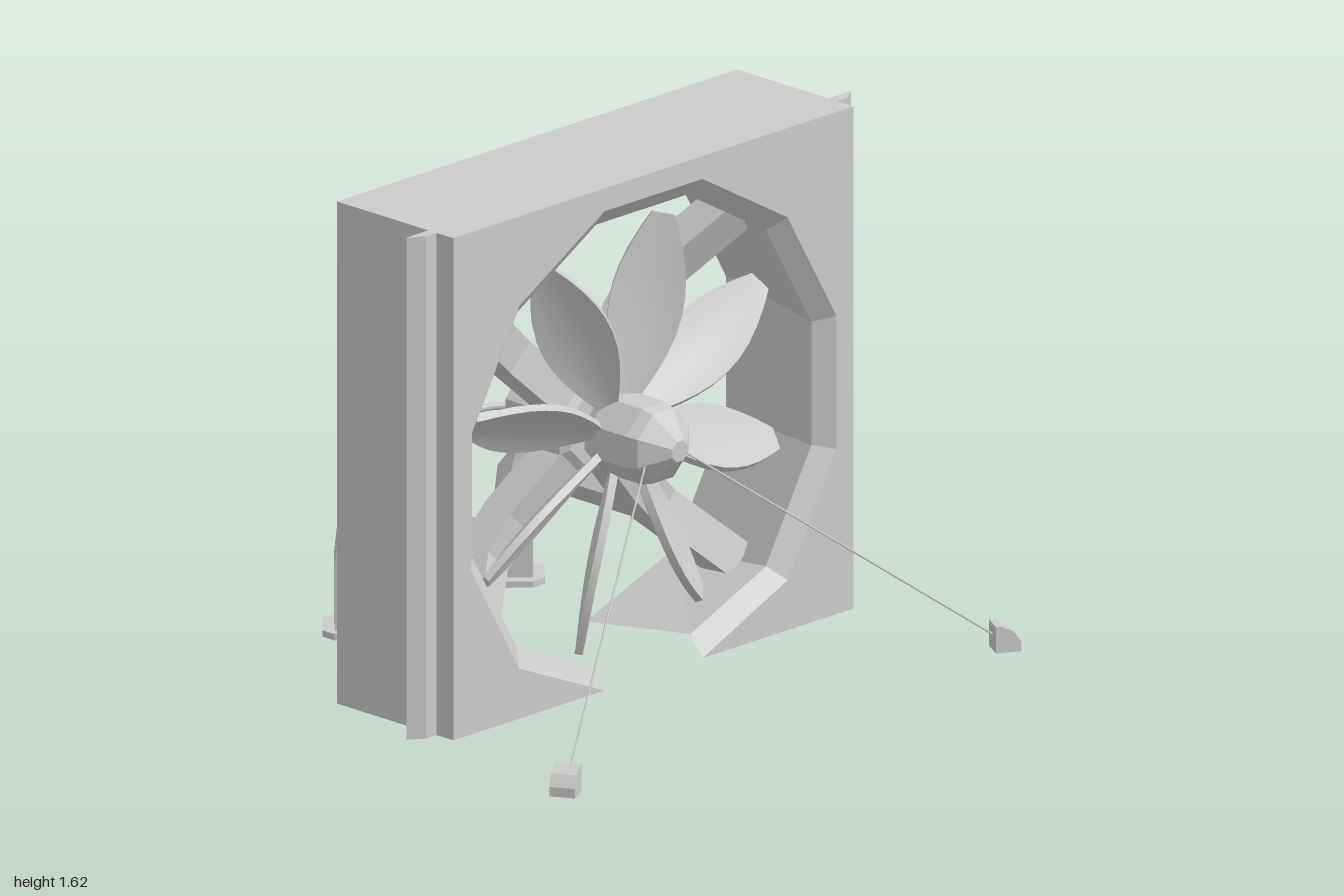
import * as THREE from 'three';

const HUB_Y = 0.76;
const mat = new THREE.MeshStandardMaterial({ color: 0xcccccc, flatShading: true });
const open = new THREE.MeshStandardMaterial({ color: 0xcccccc, flatShading: true, side: THREE.DoubleSide });
const smooth = new THREE.MeshStandardMaterial({ color: 0xcccccc });
const V = (x, y, z) => new THREE.Vector3(x, y, z);

function add(parent, name, geometry, material = mat, x = 0, y = 0, z = 0) {
  const mesh = new THREE.Mesh(geometry, material);
  mesh.name = name;
  mesh.position.set(x, y, z);
  parent.add(mesh);
  return mesh;
}

function fromTriangles(tris) {
  const g = new THREE.BufferGeometry().setFromPoints(tris);
  g.computeVertexNormals();
  return g;
}

// Four-sided bar with mitred bends; "side" is perpendicular to the whole path
function sweep(path, side, radius, phase) {
  const rings = path.map((p, i) => {
    const before = p.clone().sub(path[Math.max(i - 1, 0)]).normalize();
    const after = path[Math.min(i + 1, path.length - 1)].clone().sub(p).normalize();
    const t = before.clone().add(after).normalize();
    const mitre = 1 / Math.max(t.dot(after.lengthSq() ? after : before), 0.5);
    const up = t.clone().cross(side).multiplyScalar(mitre);
    return [0, 1, 2, 3].map(k => {
      const a = phase + k * Math.PI / 2;
      return p.clone().addScaledVector(side, radius * Math.cos(a)).addScaledVector(up, radius * Math.sin(a));
    });
  });
  const tris = [];
  for (let i = 0; i < rings.length - 1; i++) {
    for (let j = 0; j < 4; j++) {
      const k = (j + 1) % 4;
      const [a, b, c, d] = [rings[i][j], rings[i][k], rings[i + 1][k], rings[i + 1][j]];
      tris.push(a, b, c, a, c, d);
    }
  }
  const s = rings[0], e = rings[rings.length - 1];
  tris.push(s[0], s[2], s[1], s[0], s[3], s[2], e[0], e[1], e[2], e[0], e[2], e[3]);
  return fromTriangles(tris);
}

// Twelve-sided opening, cut off at the bottom where the housing is open
function opening(radius, endY) {
  const pts = [new THREE.Vector2(0.21, endY)];
  for (let i = 0; i < 10; i++) {
    const a = THREE.MathUtils.degToRad(-45 + i * 30);
    pts.push(new THREE.Vector2(radius * Math.cos(a), HUB_Y + radius * Math.sin(a)));
  }
  pts.push(new THREE.Vector2(-0.21, endY));
  return pts;
}

// Sheet housing, hollow and open underneath
function buildHousing(root) {
  const group = new THREE.Group();
  group.name = 'housing';
  root.add(group);
  const corners = [[0.86, 0.025], [0.86, 1.62], [-0.86, 1.62], [-0.86, 0.025]].map(c => new THREE.Vector2(...c));
  const [f, m, b] = [[0.815, 0.025, 0.21], [0.755, 0.09, 0.16], [0.84, 0.025, -0.28]]
    .map(([r, endY, z]) => ({ pts: opening(r, endY), z }));
  const face = s => new THREE.ShapeGeometry(new THREE.Shape([...corners, ...s.pts.slice().reverse()]));
  add(group, 'frontFace', face(f), open, 0, 0, f.z);
  add(group, 'backFace', face(b), open, 0, 0, b.z);

  const strip = (a, za, c, zc) => {
    const tris = [];
    for (let i = 0; i < a.length - 1; i++) {
      const p = V(a[i].x, a[i].y, za), q = V(a[i + 1].x, a[i + 1].y, za);
      const r = V(c[i + 1].x, c[i + 1].y, zc), s = V(c[i].x, c[i].y, zc);
      tris.push(p, q, r, p, r, s);
    }
    return fromTriangles(tris);
  };
  add(group, 'frontBevel', strip(f.pts, f.z, m.pts, m.z), open);
  add(group, 'tunnelWall', strip(m.pts, m.z, b.pts, b.z), open);
  add(group, 'outerWall', strip(corners, f.z, corners, b.z), open);
  for (const s of [1, -1]) {
    // Side mounting flange with a slanted lip
    const shape = new THREE.Shape([[0.86, -0.105], [0.86, -0.14], [0.905, -0.14], [0.955, -0.105]]
      .map(([x, y]) => new THREE.Vector2(s * x, y)));
    const flange = add(group, 'sideFlange', new THREE.ExtrudeGeometry(shape, { depth: 1.595, bevelEnabled: false }), mat, 0, 0.025, 0);
    flange.rotation.x = -Math.PI / 2;
  }
  // Switch on the back
  add(group, 'switchPlate', new THREE.BoxGeometry(0.06, 0.09, 0.016), mat, -0.76, 0.135, -0.287);
  add(group, 'switchRocker', new THREE.BoxGeometry(0.035, 0.05, 0.012), mat, -0.76, 0.14, -0.295);
}

function bladeGeometry() {
  const g = new THREE.BoxGeometry(1, 2, 0.024, 10, 6, 1);
  const p = g.attributes.position;
  for (let i = 0; i < p.count; i++) {
    const t = p.getX(i) + 0.5, v = p.getY(i);
    const y = v * 0.113 * Math.sin(Math.PI * (0.05 + 0.85 * t));
    const z = p.getZ(i) - 0.016 * (1 - v * v) * Math.sin(Math.PI * t);
    const pitch = THREE.MathUtils.degToRad(-46 + 6 * t);
    p.setXYZ(i, 0.09 + 0.59 * t, y * Math.cos(pitch) - z * Math.sin(pitch), y * Math.sin(pitch) + z * Math.cos(pitch));
  }
  g.computeVertexNormals();
  return g;
}

// Eight-sided turned part along z, from [radius, z] pairs in rising z
function turned(profile) {
  return new THREE.LatheGeometry(profile.map(([r, z]) => new THREE.Vector2(r, z)), 8, Math.PI / 8).rotateX(Math.PI / 2);
}

function buildFan(root) {
  const fan = new THREE.Group();
  fan.name = 'fan';
  fan.position.y = HUB_Y;
  root.add(fan);
  const blade = bladeGeometry();
  for (let i = 0; i < 8; i++) {
    const mesh = add(fan, 'blade', blade, smooth, 0, 0, 0.075);
    mesh.rotation.z = THREE.MathUtils.degToRad(29.5 + i * 45);
  }
  add(fan, 'hub', turned([[0, 0.02], [0.11, 0.02], [0.13, 0.06], [0.13, 0.21], [0.118, 0.25], [0.035, 0.322], [0, 0.322]]));
  add(fan, 'motor', turned([[0, -0.28], [0.08, -0.28], [0.09, -0.295], [0.13, -0.295], [0.13, -0.245],
    [0.16, -0.235], [0.16, -0.04], [0.13, -0.02], [0.06, -0.02], [0.06, 0.03], [0, 0.03]]));
  add(fan, 'rearSocket', turned([[0, -0.297], [0.03, -0.297], [0.03, -0.275], [0, -0.275]]));
}

function buildStruts(root) {
  // Cranked diagonal arms from motor to tunnel wall
  const arm = [[0.05, -0.08], [0.26, -0.15], [0.37, -0.15], [0.565, -0.01]];
  for (const sx of [1, -1]) for (const sy of [1, -1]) {
    const side = V(sx, -sy, 0).normalize();
    const path = arm.map(([s, z]) => V(sx * s, HUB_Y + sy * s, z));
    add(root, 'strut', sweep(path, side, 0.083, Math.PI / 4));
  }
  // Rear legs bending down to the ground, each on a chamfered square foot
  const leg = [[0.425, -0.14], [0.425, -0.555], [0.402, -0.645], [0.335, -0.703], [0.25, -0.715], [0.04, -0.715]];
  const foot = new THREE.Shape([[0.108, -0.025], [0.108, 0.025], [0.025, 0.108], [-0.025, 0.108],
    [-0.108, 0.025], [-0.108, -0.025], [-0.025, -0.108], [0.025, -0.108]].map(q => new THREE.Vector2(...q)));
  const footGeometry = new THREE.ExtrudeGeometry(foot, { depth: 0.02, bevelEnabled: false }).rotateX(-Math.PI / 2);
  for (const s of [1, -1]) {
    add(root, 'rearLeg', sweep(leg.map(([y, z]) => V(s * 0.343, y, z)), V(1, 0, 0), 0.083, 0));
    add(root, 'rearFoot', footGeometry, mat, s * 0.343, 0.028, -0.715);
  }
}

function buildStays(root) {
  for (const s of [1, -1]) {
    const line = new THREE.LineCurve3(V(s * 0.07, 0.735, 0.25), V(s * 0.91, 0.06, 0.745));
    add(root, 'stayCable', new THREE.TubeGeometry(line, 1, 0.0035, 6), smooth);
    // Wedge foot, low side facing away from the fan
    const anchor = new THREE.Group();
    anchor.name = 'stayAnchor';
    anchor.position.set(s * 0.945, 0, 0.765);
    anchor.rotation.y = s > 0 ? -Math.PI / 6 : Math.PI + Math.PI / 6;
    root.add(anchor);
    const wedge = new THREE.Shape([[-0.04, 0.01], [0.04, 0.01], [0.04, 0.04], [0.015, 0.075], [-0.02, 0.093], [-0.04, 0.093]]
      .map(q => new THREE.Vector2(...q)));
    add(anchor, 'anchorBlock', new THREE.ExtrudeGeometry(wedge, { depth: 0.08, bevelEnabled: false }), mat, 0, 0, -0.04);
    add(anchor, 'anchorPin', new THREE.CylinderGeometry(0.006, 0.003, 0.02, 6), mat, 0, 0.01, 0);
  }
}

function buildWire(root) {
  const path = new THREE.CatmullRomCurve3([V(-0.57, 1.3, -0.2), V(-0.51, 1.17, -0.22), V(-0.43, 1.01, -0.28), V(-0.3, 0.79, -0.375),
    V(-0.22, 0.768, -0.385), V(-0.1, 0.765, -0.36), V(-0.02, 0.76, -0.29)]);
  add(root, 'powerWire', new THREE.TubeGeometry(path, 24, 0.011, 6), smooth);
  const plug = add(root, 'wirePlug', new THREE.CylinderGeometry(0.03, 0.03, 0.05, 8), mat, -0.575, 1.315, -0.2);
  plug.rotation.z = Math.PI / 4;
}

export function createModel() {
  const root = new THREE.Group();
  root.name = 'ventilatorFan';
  buildHousing(root);
  buildFan(root);
  buildStruts(root);
  buildStays(root);
  buildWire(root);
  return root;
}
